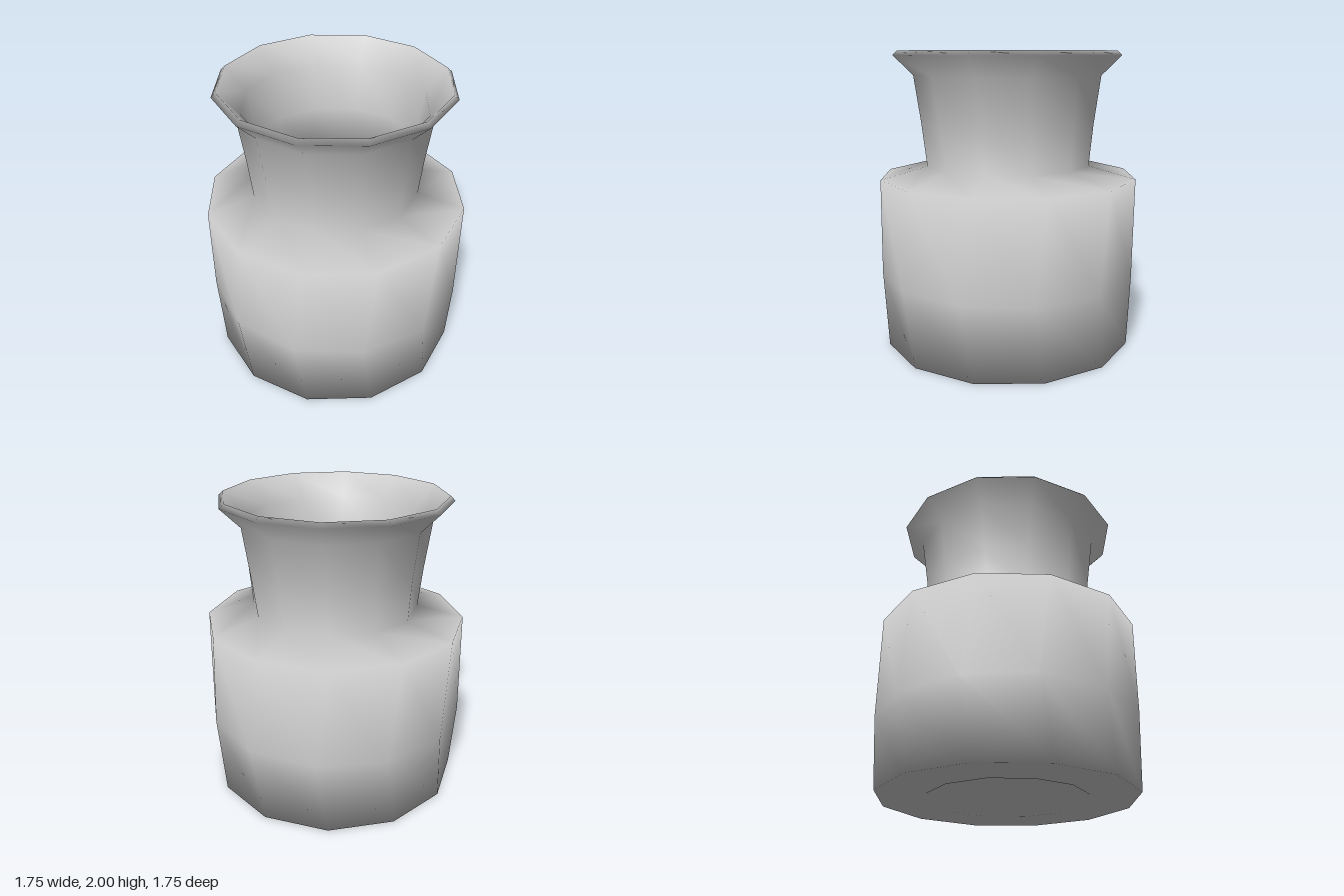
import * as THREE from 'three';

// Closed wall profile: up the outside from the base to the rim, then down the inside.
// Each entry is [radius, height, twist in degrees, optional tilt of the normal in degrees].
const profile = [
  [0, 0.03, 0], [0.48, 0.03, 3], [0.53, 0, 3],                      // recess under the base
  [0.85, 0, 3, -81], [0.877, 0.50, -2, 0], [0.875, 1.16, 3.5, 80],  // outer belly
  [0.56, 1.24, 3, 10], [0.59, 1.52, 1], [0.635, 1.84, 0],           // outer neck
  [0.765, 1.97, 0], [0.735, 2.00, 0],                               // rim
  [0.60, 1.84, 0], [0.55, 1.52, 1], [0.52, 1.21, 3],                // inner neck
  [0.81, 1.12, 3.5], [0.825, 0.50, -2], [0.80, 0.06, 3], [0, 0.06, 0], // inner belly and floor
];

export function createModel() {
  const group = new THREE.Group();
  group.name = 'vase';

  // Twelve-sided body
  const points = profile.map(([r, y]) => new THREE.Vector2(r, y));
  const geometry = new THREE.LatheGeometry(points, 12);

  // Turn each ring a little for the twisted facets, and soften the belly's edges with tilted normals
  const { position, normal } = geometry.attributes;
  const axis = new THREE.Vector3(0, 1, 0);
  const v = new THREE.Vector3();
  for (let i = 0; i < position.count; i++) {
    const [r, , twist, tilt] = profile[i % profile.length];
    const angle = THREE.MathUtils.degToRad(twist);
    if (tilt !== undefined) {
      const a = THREE.MathUtils.degToRad(tilt);
      const out = Math.cos(a) / r;
      normal.setXYZ(i, position.getX(i) * out, Math.sin(a), position.getZ(i) * out);
    }
    for (const attribute of [position, normal]) {
      v.fromBufferAttribute(attribute, i).applyAxisAngle(axis, angle);
      attribute.setXYZ(i, v.x, v.y, v.z);
    }
  }

  const body = new THREE.Mesh(geometry, new THREE.MeshStandardMaterial({ color: 0xcccccc }));
  body.name = 'vaseBody';
  group.add(body);
  return group;
}
